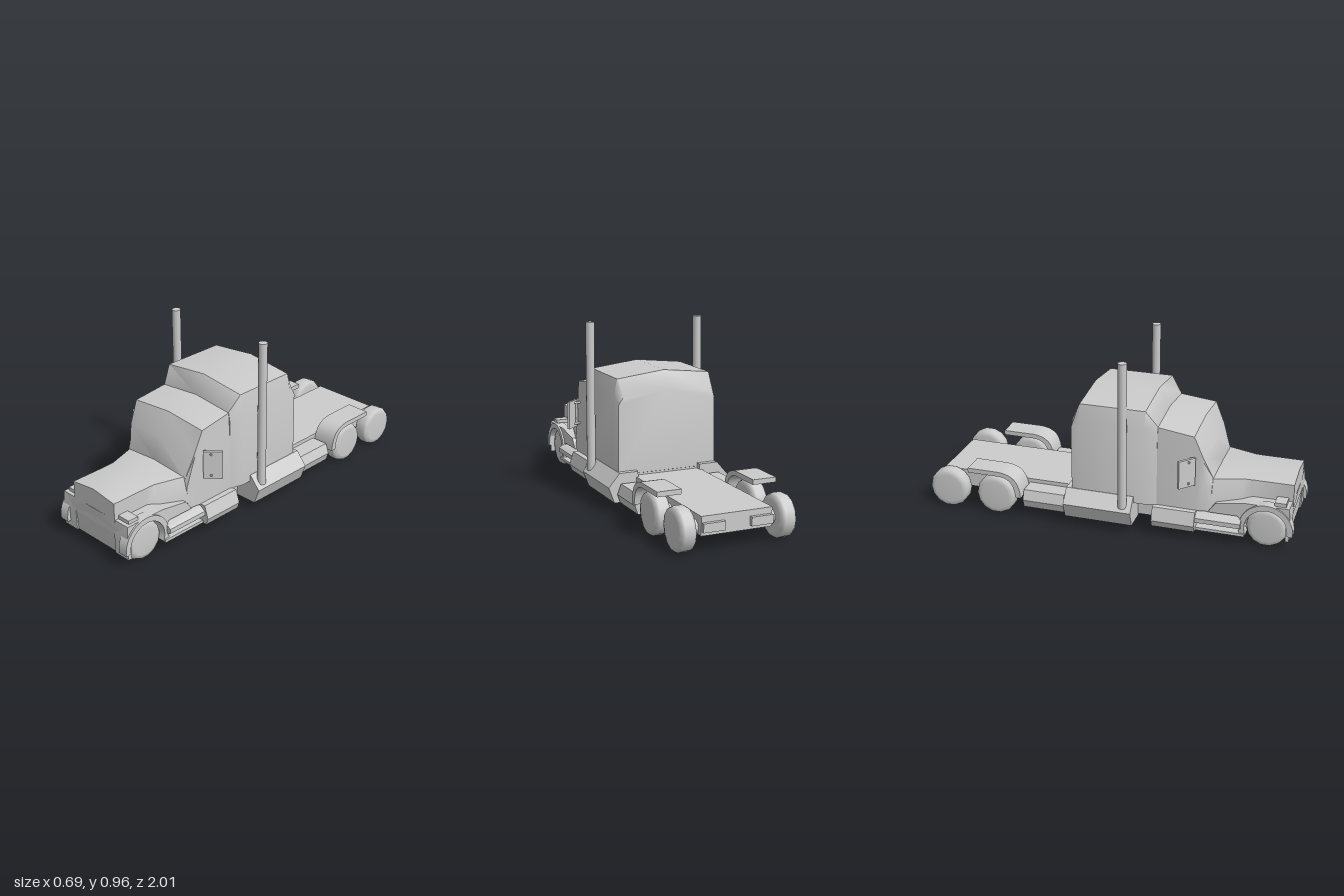
import * as THREE from 'three';
import { toCreasedNormals } from 'three/addons/utils/BufferGeometryUtils.js';

export function createModel() {
  const truck = new THREE.Group();
  truck.name = 'semiTruck';
  const paint = new THREE.MeshStandardMaterial({ color: 0xcccccc });
  paint.name = 'light grey';

  const add = (name, geometry, x = 0, y = 0, z = 0) => {
    const mesh = new THREE.Mesh(geometry, paint);
    mesh.name = name;
    mesh.position.set(x, y, z);
    truck.add(mesh);
    return mesh;
  };

  // Box given by its limits on each axis
  const block = (name, x0, x1, y0, y1, z0, z1) =>
    add(name, new THREE.BoxGeometry(Math.abs(x1 - x0), y1 - y0, z1 - z0),
      (x0 + x1) / 2, (y0 + y1) / 2, (z0 + z1) / 2);

  // Skin over mirrored half sections, listed from back to front
  const loft = (name, sections, crease) => {
    const rings = sections.map(s =>
      [...s, ...s.slice(1).reverse().map(([x, y, z]) => [-x, y, z])]);
    const n = rings[0].length, index = [];
    for (let i = 0; i < rings.length - 1; i++) {
      for (let j = 0; j < n; j++) {
        const a = i * n + j, b = i * n + (j + 1) % n;
        index.push(a, a + n, b + n, a, b + n, b);
      }
    }
    const last = (rings.length - 1) * n;
    for (let k = 1; k < n - 1; k++) {
      index.push(0, k, k + 1, last, last + k + 1, last + k);
    }
    const g = new THREE.BufferGeometry();
    g.setAttribute('position', new THREE.Float32BufferAttribute(rings.flat(2), 3));
    g.setIndex(index);
    return add(name, toCreasedNormals(g, crease));
  };

  const extrude = (shape, depth) => toCreasedNormals(
    new THREE.ExtrudeGeometry(shape, { depth, bevelEnabled: false, curveSegments: 10 }), 0.6);
  const polygon = pts => new THREE.Shape(pts.map(p => new THREE.Vector2(...p)));

  // Side profile (z, y) extruded between two x limits
  const sideExtrude = (name, shape, x0, x1) =>
    add(name, extrude(shape, Math.abs(x1 - x0)).rotateY(-Math.PI / 2), Math.max(x0, x1));

  // Sleeper behind the cab
  const at = (z, pts) => pts.map(([x, y]) => [x, y, z]);
  const full = [[0, 0.732], [0.265, 0.702], [0.284, 0.615], [0.283, 0.18]];
  loft('sleeper', [
    at(-0.175, [[0, 0.635], [0.25, 0.61], [0.278, 0.57], [0.28, 0.2]]),
    at(-0.13, full),
    at(0.225, full),
    at(0.285, [[0, 0.637], [0.24, 0.615], [0.25, 0.56], [0.25, 0.17]]),
  ], 0.9);

  // Cab with sloping roof, visor and raked windscreen
  loft('cab', [
    at(0.26, [[0, 0.638], [0.24, 0.615], [0.25, 0.46], [0.25, 0.34], [0.248, 0.17]]),
    [[0, 0.608, 0.48], [0.247, 0.587, 0.48], [0.247, 0.465, 0.5], [0.25, 0.34, 0.5], [0.25, 0.17, 0.5]],
    [[0, 0.487, 0.55], [0.24, 0.467, 0.53], [0.24, 0.455, 0.525], [0.24, 0.34, 0.54], [0.24, 0.17, 0.56]],
    [[0, 0.36, 0.585], [0.2, 0.34, 0.578], [0.215, 0.33, 0.575], [0.23, 0.29, 0.575], [0.235, 0.17, 0.575]],
  ], 0.6);

  // Bonnet narrowing towards the grille
  loft('hood', [
    at(0.56, [[0, 0.366], [0.212, 0.345], [0.237, 0.25], [0.237, 0.175]]),
    at(0.73, [[0, 0.366], [0.158, 0.345], [0.19, 0.25], [0.19, 0.175]]),
    at(0.78, [[0, 0.366], [0.156, 0.345], [0.156, 0.25], [0.156, 0.175]]),
    at(0.99, [[0, 0.366], [0.155, 0.345], [0.155, 0.25], [0.155, 0.175]]),
  ], 0.6);
  loft('bumper', [
    at(0.972, [[0, 0.255], [0.24, 0.25], [0.25, 0.16], [0.25, 0.062]]),
    [[0, 0.255, 0.993], [0.235, 0.25, 0.985], [0.247, 0.16, 0.99], [0.245, 0.062, 0.98]],
  ], 0.6);

  // Chassis
  block('rearDeck', -0.19, 0.19, 0.09, 0.187, -0.958, -0.1);
  block('floorPan', -0.19, 0.19, 0.07, 0.2, -0.17, 0.745);
  block('frontFloor', -0.145, 0.145, 0.062, 0.2, 0.74, 0.975);

  // Wheels: rounded discs spun around the x axis
  const wheel = (name, x, z, half, r) => {
    const profile = [[0, -half], [r * 0.72, -half], [r * 0.93, -half * 0.85], [r, -half * 0.5],
      [r, half * 0.5], [r * 0.93, half * 0.85], [r * 0.72, half], [0, half]];
    const g = new THREE.LatheGeometry(profile.map(p => new THREE.Vector2(...p)), 14);
    add(name, g.rotateZ(Math.PI / 2), x, r + 0.005, z);
  };
  for (const z of [-0.61, -0.89]) {
    add('rearAxle', new THREE.CylinderGeometry(0.04, 0.04, 0.5, 10).rotateZ(Math.PI / 2), 0, 0.118, z);
  }

  // Front fender side with wheel arch
  const WZ = 0.868, WY = 0.115;
  const fender = polygon([[0.99, 0.062], [0.992, 0.18], [0.985, 0.25], [0.76, 0.25], [0.6, 0.225],
    [0.56, 0.17], [0.72, 0.17], [0.75, WY]]);
  fender.absarc(WZ, WY, 0.112, Math.PI, 0, true);
  fender.lineTo(0.98, 0.062);
  // Raised rim around the wheel arch
  const rim = new THREE.Shape();
  rim.absarc(WZ, WY, 0.142, -0.15, Math.PI + 0.4, false);
  rim.absarc(WZ, WY, 0.112, Math.PI + 0.4, -0.15, true);
  // Rear mudguard curving down in front of the wheel
  const guard = new THREE.Shape();
  guard.moveTo(-0.758, 0.268);
  guard.lineTo(-0.58, 0.268);
  guard.bezierCurveTo(-0.5, 0.262, -0.46, 0.23, -0.455, 0.13);
  guard.lineTo(-0.485, 0.13);
  guard.bezierCurveTo(-0.49, 0.21, -0.52, 0.238, -0.58, 0.242);
  guard.lineTo(-0.758, 0.242);

  for (const s of [1, -1]) {
    const side = s > 0 ? 'left' : 'right';
    wheel(side + 'FrontWheel', s * 0.19, WZ, 0.045, 0.108);
    wheel(side + 'MiddleWheel', s * 0.267, -0.61, 0.043, 0.112);
    wheel(side + 'BackWheel', s * 0.267, -0.888, 0.043, 0.112);
    sideExtrude(side + 'Fender', fender, s * 0.15, s * 0.246);
    sideExtrude(side + 'WheelArch', rim, s * 0.2, s * 0.256);
    sideExtrude(side + 'Mudguard', guard, s * 0.195, s * 0.325);
    block(side + 'Headlight', s * 0.155, s * 0.23, 0.226, 0.27, 0.905, 0.965);
    block(side + 'TailLight', s * 0.07, s * 0.187, 0.11, 0.155, -0.978, -0.95);

    // Fuel tank, rear box, step and air tank, as sections along z
    const along = (name, pts, z0, z1) =>
      add(side + name, extrude(polygon(pts.map(([x, y]) => [s * x, y])), z1 - z0), 0, 0, z0);
    along('FuelTank', [[0.18, 0.06], [0.315, 0.06], [0.347, 0.145], [0.285, 0.217], [0.18, 0.217]], -0.205, 0.168);
    along('RearBox', [[0.18, 0.065], [0.29, 0.065], [0.305, 0.11], [0.285, 0.165], [0.18, 0.165]], -0.45, -0.22);
    along('Step', [[0.18, 0.064], [0.29, 0.064], [0.303, 0.1], [0.28, 0.172], [0.18, 0.172]], 0.27, 0.5);
    along('AirTank', [[0.19, 0.1], [0.25, 0.1], [0.28, 0.115], [0.28, 0.14], [0.25, 0.16], [0.19, 0.16]], 0.5, 0.74);
    block(side + 'Rail', s * 0.15, s * 0.265, 0.064, 0.08, 0.49, 0.76);

    // Exhaust stack
    add(side + 'Exhaust', new THREE.CylinderGeometry(0.024, 0.024, 0.81, 12), s * 0.317, 0.567, 0.117);

    // Angled wing mirror with two arms
    add(side + 'Mirror', new THREE.BoxGeometry(0.1, 0.155, 0.014), s * 0.298, 0.403, 0.455)
      .rotation.y = s * 0.75;
    for (const y of [0.345, 0.465]) {
      add(side + 'MirrorArm', new THREE.CylinderGeometry(0.007, 0.007, 0.07, 8).rotateZ(Math.PI / 2),
        s * 0.265, y, 0.465);
    }
    add(side + 'MirrorPost', new THREE.CylinderGeometry(0.007, 0.007, 0.13, 8), s * 0.268, 0.405, 0.465);
  }
  return truck;
}
